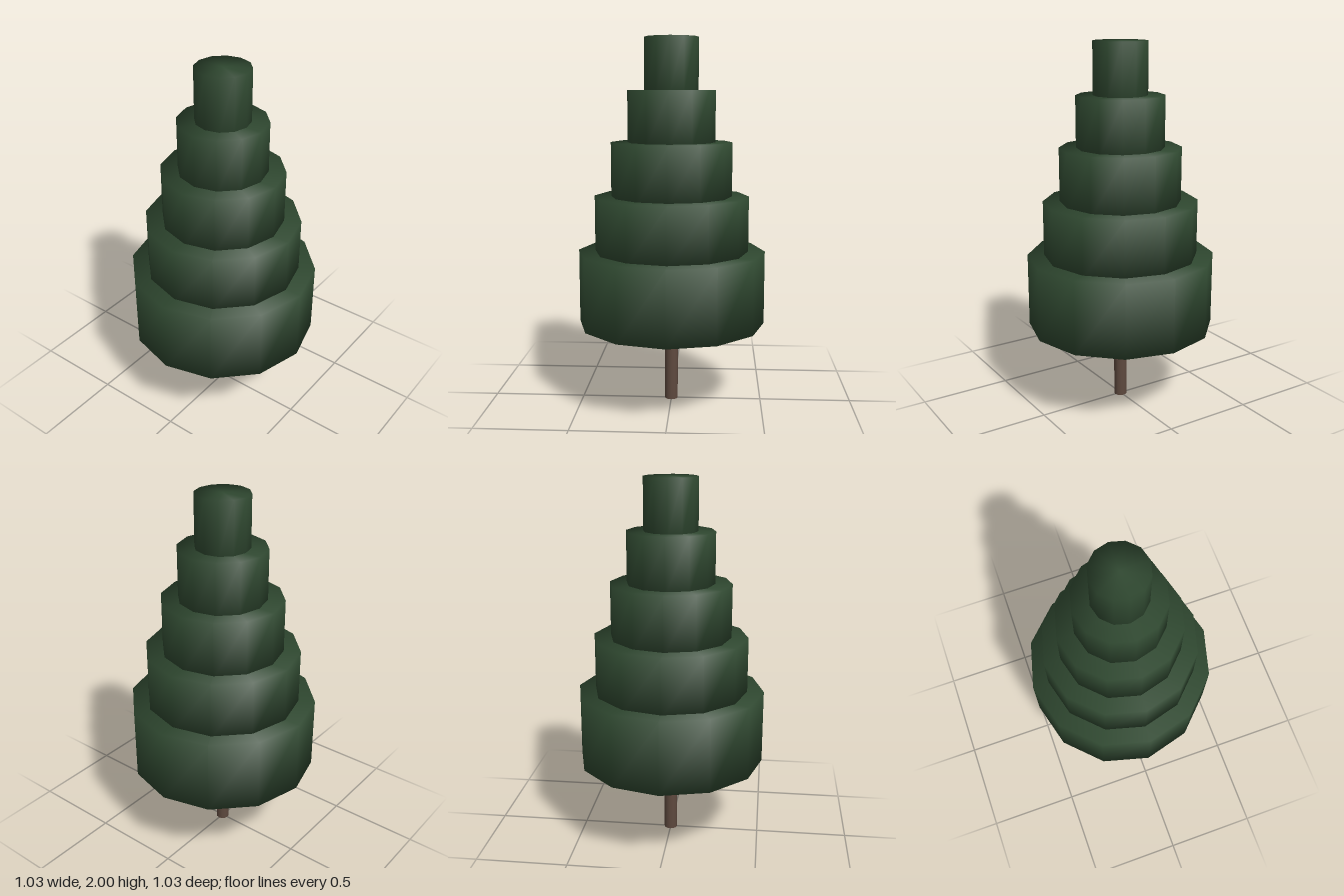
import * as THREE from 'three';
import { mergeVertices } from 'three/addons/utils/BufferGeometryUtils.js';

// Closed cylinder whose normals run smoothly over the rims
function softCylinder(radius, bottom, top, sides) {
  const geometry = new THREE.CylinderGeometry(radius, radius, top - bottom, sides);
  geometry.deleteAttribute('normal');
  geometry.deleteAttribute('uv');
  const merged = mergeVertices(geometry, 1e-4);
  merged.computeVertexNormals();
  merged.translate(0, (top + bottom) / 2, 0);
  return merged;
}

export function createModel() {
  const group = new THREE.Group();
  const foliage = new THREE.MeshStandardMaterial({ color: 0x2f4830 });
  foliage.name = 'foliage green';
  const bark = new THREE.MeshStandardMaterial({ color: 0x5f4a3f });
  bark.name = 'bark brown';

  // Slim trunk, running up into the lowest tier
  const trunk = new THREE.Mesh(softCylinder(0.036, 0, 0.5, 12), bark);
  trunk.name = 'trunk';
  group.add(trunk);

  // Stacked foliage tiers: radius, bottom, top
  const tiers = [
    [0.513, 0.443, 0.847],
    [0.422, 0.83, 1.15],
    [0.33, 1.13, 1.443],
    [0.238, 1.425, 1.72],
    [0.146, 1.705, 2],
  ];
  tiers.forEach(([radius, bottom, top], i) => {
    const tier = new THREE.Mesh(softCylinder(radius, bottom, top, 12), foliage);
    tier.name = `foliageTier${i + 1}`;
    group.add(tier);
  });

  return group;
}
